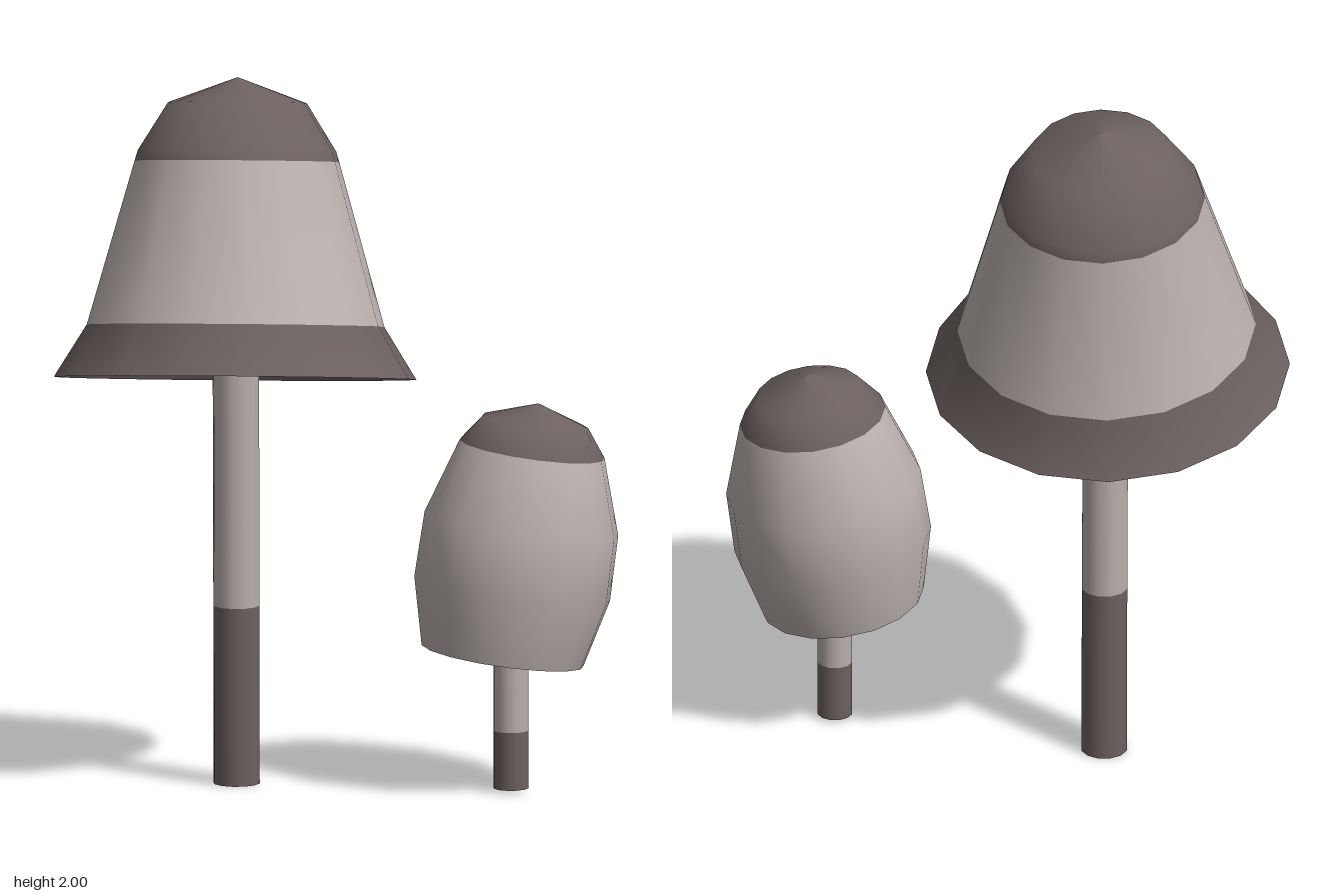
import * as THREE from 'three';

const dark = new THREE.MeshStandardMaterial({ color: 0x6c6160 });
dark.name = 'dark brown';
const light = new THREE.MeshStandardMaterial({ color: 0xbab0ad });
light.name = 'pale grey';

const SIDES = 16;

function addMesh(group, name, geometry, material) {
  const mesh = new THREE.Mesh(geometry, material);
  mesh.name = name;
  group.add(mesh);
}

// Keep only the rings j0..j1 of a lathe, so that bands share smooth normals
function band(lathe, rings, j0, j1) {
  const index = [];
  for (let i = 0; i < SIDES; i++) {
    for (let j = j0; j < j1; j++) {
      const a = i * rings + j, b = a + rings;
      index.push(a, b, a + 1, b + 1, a + 1, b);
    }
  }
  const g = lathe.clone();
  g.setIndex(index);
  return g;
}

// Tilted hollow cap; bands are [name, first ring, last ring, material]
function makeCap(name, base, tip, profile, inner, bands) {
  const cap = new THREE.Group();
  cap.name = name;
  const toPoints = (p) => p.map(([r, t]) => new THREE.Vector2(r, t));
  const lathe = new THREE.LatheGeometry(toPoints(profile), SIDES);
  for (const [part, j0, j1, mat] of bands) {
    addMesh(cap, part, band(lathe, profile.length, j0, j1), mat);
  }
  // Underside lining, wound to face inwards
  addMesh(cap, 'capLining', new THREE.LatheGeometry(toPoints(inner).reverse(), SIDES), dark);
  const axis = new THREE.Vector3().subVectors(tip, base).normalize();
  cap.quaternion.setFromUnitVectors(new THREE.Vector3(0, 1, 0), axis);
  cap.position.copy(base);
  return cap;
}

// Centre of a stem at height y, from [y, x, z] stations
function centreAt(path, y) {
  let k = 0;
  while (k < path.length - 2 && y > path[k + 1][0]) k++;
  const [y0, x0, z0] = path[k], [y1, x1, z1] = path[k + 1];
  const f = (y - y0) / (y1 - y0);
  return [x0 + (x1 - x0) * f, z0 + (z1 - z0) * f];
}

// Gently bent stem in coloured lengths: [name, bottom, top, material]
function makeStem(name, radius, path, lengths) {
  const stem = new THREE.Group();
  stem.name = name;
  lengths.forEach(([part, y0, y1, mat], n) => {
    const g = new THREE.CylinderGeometry(radius, radius, y1 - y0, 12, 6, n > 0);
    g.translate(0, (y0 + y1) / 2, 0);
    const p = g.attributes.position;
    for (let i = 0; i < p.count; i++) {
      const [x, z] = centreAt(path, p.getY(i));
      p.setX(i, p.getX(i) + x);
      p.setZ(i, p.getZ(i) + z);
    }
    addMesh(stem, part, g, mat);
  });
  return stem;
}

export function createModel() {
  const model = new THREE.Group();
  model.name = 'mushrooms';

  // Tall mushroom with a flared bell cap
  const tall = new THREE.Group();
  tall.name = 'tallMushroom';
  tall.add(makeStem('tallStem', 0.066,
    [[0, -0.245, 0.07], [0.5, -0.24, 0.077], [1, -0.23, 0.09], [1.24, -0.238, 0.083], [1.8, -0.28, 0.03]],
    [['stemBase', 0, 0.51, dark], ['stemUpper', 0.51, 1.8, light]]));
  tall.add(makeCap('tallCap',
    new THREE.Vector3(-0.2, 1.17, 0.13), new THREE.Vector3(-0.3, 2, 0),
    [[0.512, 0], [0.42, 0.148], [0.289, 0.61], [0.28, 0.64], [0.196, 0.775], [0, 0.847]],
    [[0.512, 0], [0.41, 0.146], [0.27, 0.635], [0.186, 0.765], [0, 0.835]],
    [['capRim', 0, 1, dark], ['capBell', 1, 2, light], ['capCrown', 2, 5, dark]]));
  model.add(tall);

  // Short mushroom with a barrel-shaped cap
  const short = new THREE.Group();
  short.name = 'shortMushroom';
  short.add(makeStem('shortStem', 0.05,
    [[0.01, 0.43, -0.325], [0.25, 0.43, -0.325], [0.41, 0.423, -0.333], [1.0, 0.45, -0.39]],
    [['stemBase', 0.01, 0.175, dark], ['stemUpper', 0.175, 0.37, light], ['stemTop', 0.37, 1.0, dark]]));
  short.add(makeCap('shortCap',
    new THREE.Vector3(0.4, 0.385, -0.325), new THREE.Vector3(0.46, 1.1, -0.41),
    [[0.231, 0], [0.279, 0.192], [0.276, 0.379], [0.207, 0.592], [0.15, 0.67], [0, 0.723]],
    [[0.231, 0], [0.269, 0.192], [0.266, 0.377], [0.197, 0.585], [0.142, 0.66], [0, 0.712]],
    [['capBarrel', 0, 3, light], ['capCrown', 3, 5, dark]]));
  model.add(short);

  return model;
}
